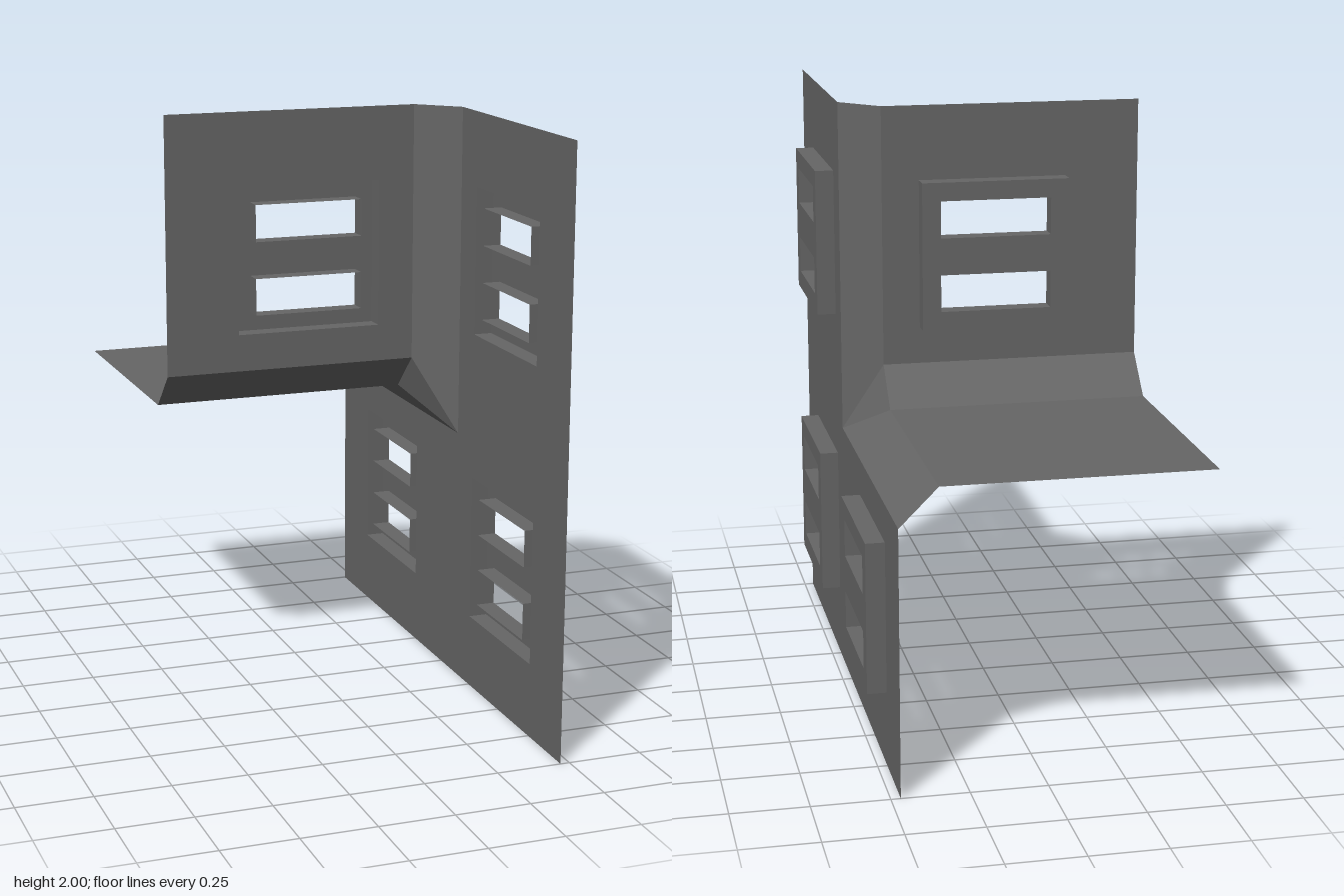
import * as THREE from 'three';
import { mergeGeometries } from 'three/addons/utils/BufferGeometryUtils.js';

const LEFT = -0.53125, EDGE = 0.34375, WALL = 0.46875; // x of the free end, bevel start, side wall
const DEPTH = 0.0625;                                  // how far window frames stand out

// Flat polygon from corners listed counter-clockwise
function polygon(...corners) {
  const pts = [];
  for (let i = 1; i < corners.length - 1; i++) pts.push(...corners[0], ...corners[i], ...corners[i + 1]);
  const geo = new THREE.BufferGeometry();
  geo.setAttribute('position', new THREE.Float32BufferAttribute(pts, 3));
  geo.computeVertexNormals();
  return geo;
}

const rect = (cx, cy, w, h) => [[-1, -1], [1, -1], [1, 1], [-1, 1]].map(([a, b]) => [cx + a * w / 2, cy + b * h / 2]);
const toShape = (pts) => new THREE.Shape(pts.map(([x, y]) => new THREE.Vector2(x, y)));

// Flat sheet with openings cut out
function sheet(outline, holes) {
  const shape = toShape(outline);
  shape.holes = holes.map(toShape);
  return new THREE.ShapeGeometry(shape);
}

// Open band running round a loop, from the wall plane out to the frame face
function band(loop, inward) {
  const pts = inward ? [...loop].reverse() : loop;
  return mergeGeometries(pts.map(([x, y], i) => {
    const [u, v] = pts[(i + 1) % pts.length];
    return polygon([x, y, 0], [u, v, 0], [u, v, DEPTH], [x, y, DEPTH]);
  }));
}

export function createModel() {
  const model = new THREE.Group();
  model.name = 'wallCornerShell';
  const grey = new THREE.MeshStandardMaterial({ color: 0x666666, side: THREE.DoubleSide });
  grey.name = 'grey';

  const add = (parent, name, geo) => {
    const mesh = new THREE.Mesh(geo, grey);
    mesh.name = name;
    parent.add(mesh);
    return mesh;
  };

  // Raised window frame with two slots, hollow at the back
  const outer = rect(0, 0, 0.5, 0.5);
  const slots = [-0.125, 0.125].map((y) => rect(0, y, 0.375, 0.125));
  const face = sheet(outer, slots);
  face.translate(0, 0, DEPTH);
  const rim = band(outer, false);
  const reveals = mergeGeometries(slots.map((s) => band(s, true)));

  // A wall facing local +z, with windows over square openings
  function wall(name, outline, centres) {
    const group = new THREE.Group();
    group.name = name;
    add(group, name + 'Sheet', sheet(outline, centres.map(([x, y]) => rect(x, y, 0.5, 0.5))));
    for (const [x, y] of centres) {
      const win = new THREE.Group();
      win.name = 'window';
      win.position.set(x, y, 0);
      add(win, 'frameFace', face);
      add(win, 'frameRim', rim);
      add(win, 'slotReveals', reveals);
      group.add(win);
    }
    model.add(group);
    return group;
  }

  // L-shaped side wall facing +x
  const side = wall('sideWall',
    [[-1, 0], [1, 0], [1, 0.875], [-0.125, 0.875], [-0.125, 2], [-1, 2]],
    [[-0.5, 0.5], [0.5, 0.5], [-0.5, 1.5]]);
  side.rotation.y = Math.PI / 2;
  side.position.x = WALL;

  // Upper wall facing -z
  const upper = wall('upperWall',
    [[-EDGE, 1.125], [-LEFT, 1.125], [-LEFT, 2], [-EDGE, 2]], [[0.03125, 1.5]]);
  upper.rotation.y = Math.PI;

  // Terrace
  add(model, 'terrace', polygon([LEFT, 1, -0.125], [EDGE, 1, -0.125], [EDGE, 1, -1], [LEFT, 1, -1]));

  // Bevels between the three planes, meeting at a corner triangle
  const a = [WALL, 0.875, 0.125], p = [EDGE, 1.125, 0], f = [EDGE, 1, -0.125];
  add(model, 'terraceEdgeBevel', polygon([WALL, 0.875, -1], [EDGE, 1, -1], f, a));
  add(model, 'uprightBevel', polygon(a, p, [EDGE, 2, 0], [WALL, 2, 0.125]));
  add(model, 'wallFootBevel', polygon([LEFT, 1.125, 0], p, f, [LEFT, 1, -0.125]));
  add(model, 'cornerBevel', polygon(a, f, p));

  return model;
}
